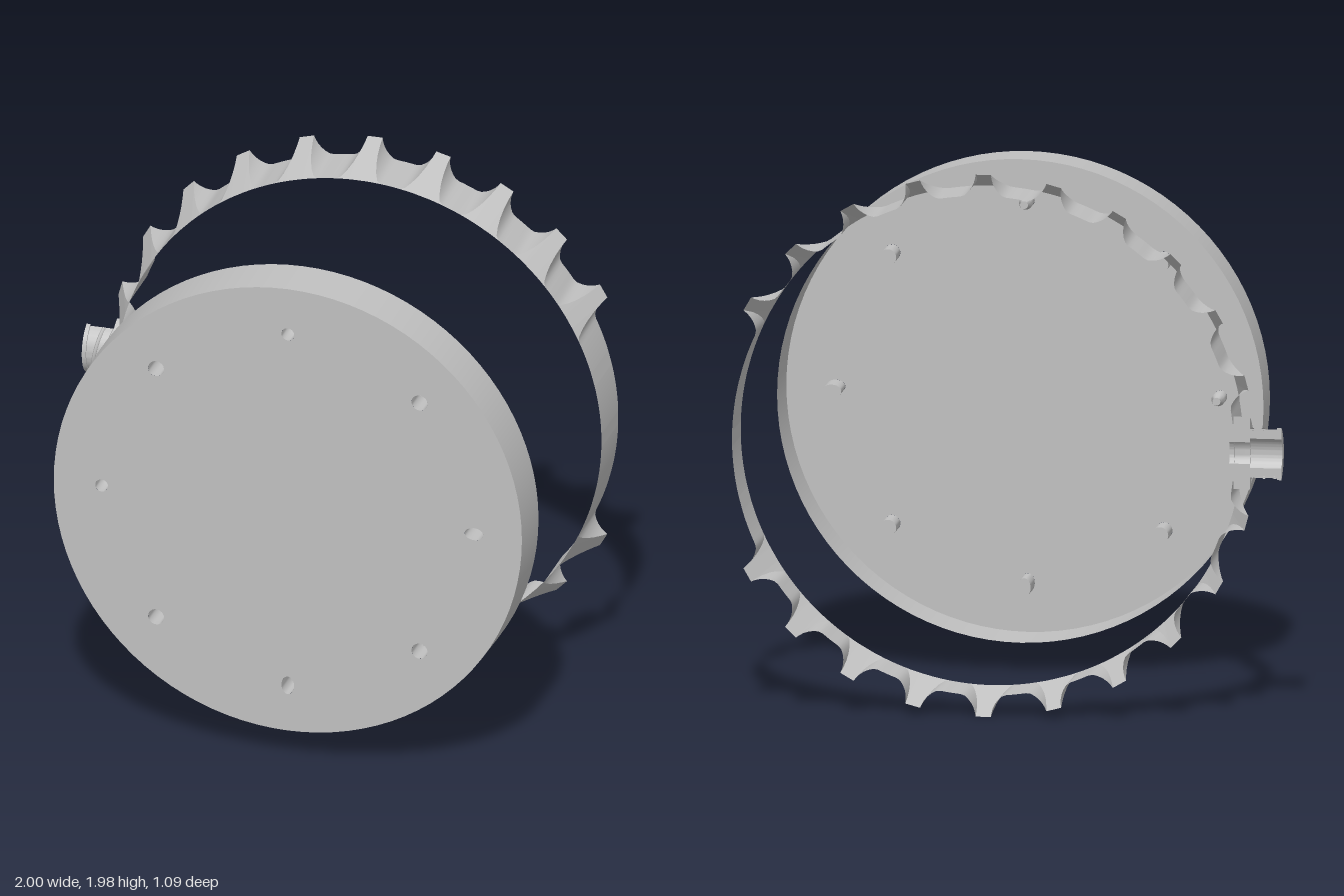
import * as THREE from 'three';
import { toCreasedNormals } from 'three/addons/utils/BufferGeometryUtils.js';

const CX = 0.085, CY = 0.995;                  // shared axis of cover and ring
const VALLEY = 0.914, TIP = 0.992;             // ring radii
const Z_FRONT = -0.335, Z_BACK = -0.545;       // ring depth
const deg = Math.PI / 180;

export function createModel() {
  const model = new THREE.Group();
  const grey = new THREE.MeshStandardMaterial({ color: 0xc0c0c0, side: THREE.DoubleSide });
  grey.name = 'plain grey';

  function add(parent, name, geometry) {
    const mesh = new THREE.Mesh(geometry, grey);
    mesh.name = name;
    parent.add(mesh);
    return mesh;
  }

  // Shallow round cover, open at the back
  const cover = new THREE.Group();
  cover.name = 'cover';
  cover.position.set(CX, CY, 0.54);
  model.add(cover);

  const studs = [
    { x: 0, y: 0.70, rx: 0.024, ry: 0.024, cone: true },
    { x: -0.70, y: 0, rx: 0.024, ry: 0.024, cone: true },
    { x: 0.70, y: 0, rx: 0.035, ry: 0.024 },
    { x: 0, y: -0.70, rx: 0.024, ry: 0.035 },
  ];
  for (const x of [-0.495, 0.495]) {
    for (const y of [-0.495, 0.495]) studs.push({ x, y, rx: 0.03, ry: 0.03 });
  }

  const face = new THREE.Shape().absarc(0, 0, 0.88, 0, Math.PI * 2);
  for (const s of studs) {
    face.holes.push(new THREE.Path().absellipse(s.x, s.y, s.rx, s.ry, 0, Math.PI * 2, true));
  }
  add(cover, 'coverFace', new THREE.ShapeGeometry(face, 48));

  const wall = new THREE.CylinderGeometry(0.885, 0.88, 0.19, 96, 1, true);
  wall.rotateX(-Math.PI / 2);
  add(cover, 'coverWall', wall).position.z = -0.095;

  // Hollow locating studs behind the cover face
  for (const s of studs) {
    const profile = s.cone
      ? [[1, 0], [1, 0.06], [0.6, 0.085], [0.6, 0.1], [0, 0.1]]
      : [[1, 0], [1, 0.1], [0, 0.1]];
    const stud = new THREE.LatheGeometry(profile.map(([r, h]) => new THREE.Vector2(r, h)), 24);
    stud.rotateX(-Math.PI / 2);
    stud.scale(s.rx, s.ry, 1);
    add(cover, 'stud', toCreasedNormals(stud, 0.6)).position.set(s.x, s.y, 0);
  }

  // Scalloped ring: a flared band cut by round grooves
  const ring = new THREE.Group();
  ring.name = 'scallopedRing';
  ring.position.set(CX, CY, 0);
  model.add(ring);

  const D = 1.006, R = 0.1035;                 // groove centre distance and radius
  const half = Math.acos((D * D + TIP * TIP - R * R) / (2 * D * TIP));
  const columns = [];
  for (let i = 0; i < 24; i++) {
    const centre = (i * 15 + 7.5) * deg;
    for (let k = 0; k <= 16; k++) {
      const phi = half * Math.sin((k / 16 - 0.5) * Math.PI);
      const angle = centre + phi;
      const a = angle / deg;
      const across = D * Math.sin(phi);
      let r = D * Math.cos(phi) - Math.sqrt(Math.max(0, R * R - across * across));
      if (k === 0 || k === 16) r = TIP;
      r = Math.min(TIP, Math.max(VALLEY, r));
      // smooth stretches: wide on the left, short behind the connector
      if ((a > 67.5 && a < 112.5) || (a > 262.5 && a < 277.5)) r = VALLEY;
      columns.push({ angle, r });
    }
  }
  const slopeZ = (r) => Z_FRONT + (Z_BACK - Z_FRONT) * (r - VALLEY) / (TIP - VALLEY);

  function band(rowA, rowB) {
    const points = [], index = [], n = columns.length;
    for (const c of columns) {
      for (const [r, z] of [rowA(c), rowB(c)]) {
        points.push(r * Math.sin(c.angle), r * Math.cos(c.angle), z);
      }
    }
    for (let i = 0; i < n; i++) {
      const a = 2 * i, b = 2 * ((i + 1) % n);
      index.push(a, a + 1, b, b, a + 1, b + 1);
    }
    const g = new THREE.BufferGeometry();
    g.setAttribute('position', new THREE.Float32BufferAttribute(points, 3));
    g.setIndex(index);
    g.computeVertexNormals();
    return g;
  }
  add(ring, 'toothSlopes', band(() => [VALLEY, Z_FRONT], (c) => [c.r, slopeZ(c.r)]));
  add(ring, 'grooves', band((c) => [c.r, slopeZ(c.r)], (c) => [c.r, Z_BACK]));

  // Half connector on the right side of the ring, cut off level with its back edge
  const connector = new THREE.Group();
  connector.name = 'connector';
  const AXIS = 0.045;                          // axis lies this far behind the cut
  connector.position.set(0, CY, Z_BACK - AXIS);
  model.add(connector);

  function shell(name, outer, inner, x0, x1, segments) {
    const a = Math.acos(AXIS / outer), b = Math.acos(AXIS / inner);
    const s = new THREE.Shape();
    s.absarc(0, 0, outer, -a, a, false);
    s.absarc(0, 0, inner, b, -b, true);
    s.closePath();
    const g = new THREE.ExtrudeGeometry(s, { depth: x1 - x0, bevelEnabled: false, curveSegments: segments });
    // section x becomes depth, section y stays height, extrusion runs along x
    g.rotateY(-Math.PI / 2);
    g.translate(x1, 0, 0);
    add(connector, name, toCreasedNormals(g, 0.5));
  }
  shell('nut', 0.14, 0.06, -0.885, -0.825, 5);
  shell('nutCollar', 0.115, 0.06, -0.83, -0.81, 16);
  shell('sleeve', 0.1, 0.07, -0.99, -0.88, 16);
  shell('sleeveLip', 0.106, 0.07, -1.0, -0.985, 16);

  // Slanted ribs round the sleeve
  for (const x of [-0.955, -0.915]) {
    const path = [];
    for (let k = 0; k <= 10; k++) {
      const t = (k / 5 - 1) * 62 * deg;
      path.push(new THREE.Vector3(x + 0.02 * t, 0.1 * Math.sin(t), 0.1 * Math.cos(t)));
    }
    add(connector, 'sleeveRib', new THREE.TubeGeometry(new THREE.CatmullRomCurve3(path), 20, 0.007, 6));
  }

  return model;
}
